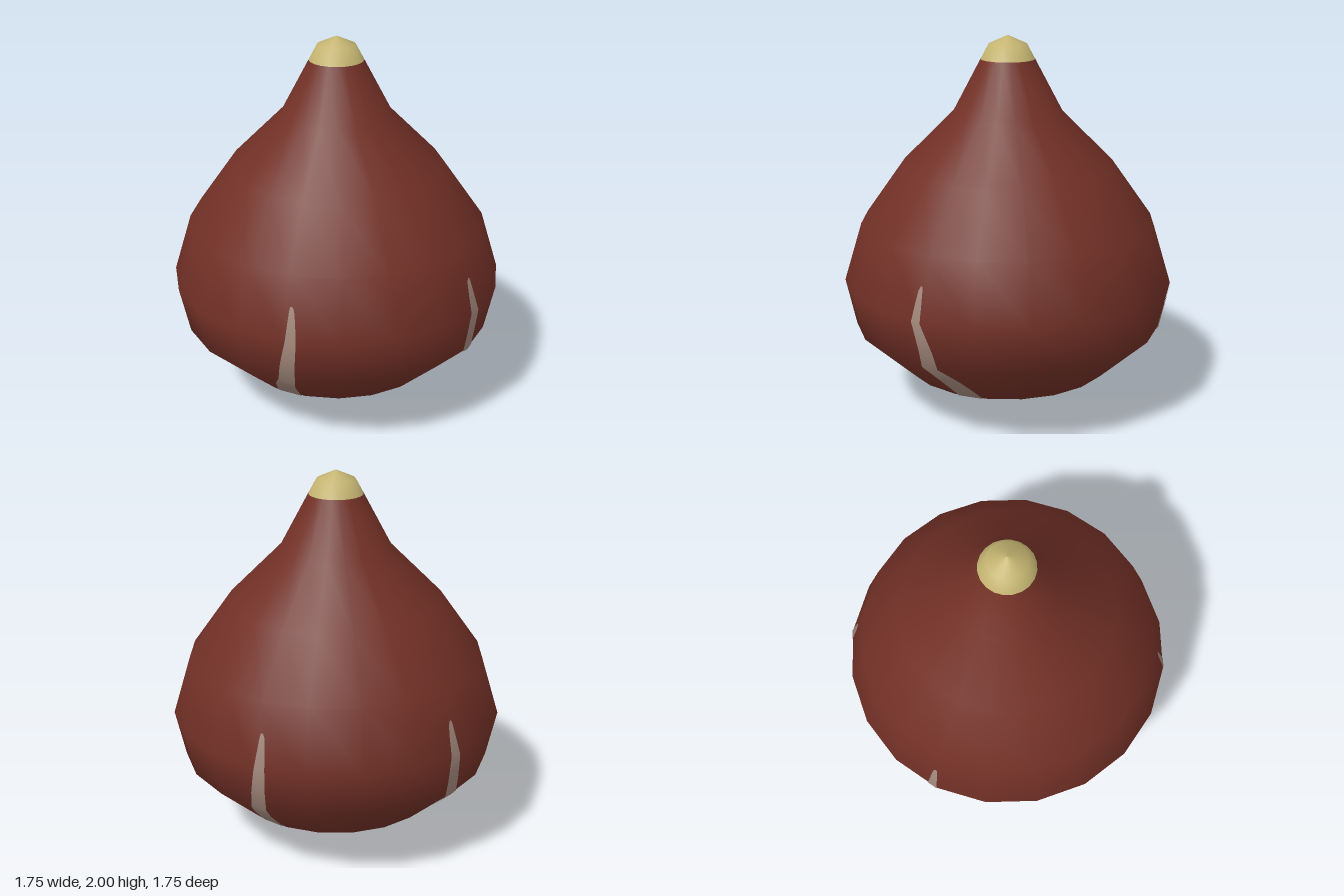
import * as THREE from 'three';

const SIDES = 20;
const STEP = (2 * Math.PI) / SIDES;

// Half profile of the bulb, [radius, height] from the base up to the stem
const PROFILE = [
  [0, 0.005], [0.2, 0.06], [0.56, 0.215], [0.823, 0.46], [0.877, 0.71],
  [0.782, 1.02], [0.565, 1.325], [0.29, 1.6], [0.142, 1.877],
];
const CAP = [[0.142, 1.877], [0.1, 1.955], [0, 2]];

// One vein: [height, inner angle, outer angle], angles in degrees from the side axis
const VEIN = [
  [0.88, 55.9, 55.2], [0.86, 56.6, 54.9], [0.8, 57.2, 54.6], [0.71, 57.8, 54.2],
  [0.55, 56.6, 51.3], [0.46, 56.3, 50.2], [0.36, 54, 45], [0.215, 52, 38.4],
  [0.17, 48.7, 35.5], [0.143, 45, 31], [0.134, 43.5, 16], [0.13, 43, 0],
  [0.06, 33, 0], [0.035, 33, 0], [0.015, 50, 0], [0.006, 85, 0],
];

const lathe = (points) =>
  new THREE.LatheGeometry(points.map(([r, y]) => new THREE.Vector2(r, y)), SIDES);

// Smooth outward direction at each profile point
const profileNormals = PROFILE.map((p, i) => {
  const n = new THREE.Vector2();
  for (const k of [i - 1, i]) {
    if (k < 0 || k + 1 >= PROFILE.length) continue;
    const [a, b] = [PROFILE[k], PROFILE[k + 1]];
    n.add(new THREE.Vector2(b[1] - a[1], a[0] - b[0]).normalize());
  }
  return n.normalize();
});

// Point and normal on the many-sided bulb, lifted slightly off its skin
function onSkin(y, angle, lift) {
  let k = 0;
  while (k < PROFILE.length - 2 && PROFILE[k + 1][1] < y) k++;
  const t = (y - PROFILE[k][1]) / (PROFILE[k + 1][1] - PROFILE[k][1]);
  const n = profileNormals[k].clone().lerp(profileNormals[k + 1], t).normalize();
  const r = THREE.MathUtils.lerp(PROFILE[k][0], PROFILE[k + 1][0], t);
  const facet = Math.cos(STEP / 2) / Math.cos((angle % STEP) - STEP / 2);
  const radius = r * facet + n.x * lift;
  return {
    p: [radius * Math.cos(angle), y + n.y * lift, radius * Math.sin(angle)],
    n: [n.x * Math.cos(angle), n.y, n.x * Math.sin(angle)],
  };
}

// Thin painted strip for one quadrant, given by the signs of x and z
function veinGeometry(sx, sz) {
  const rows = [];
  for (let i = 0; i < VEIN.length - 1; i++) {
    for (let s = 0; s < 5; s++) {
      rows.push(VEIN[i].map((v, c) => THREE.MathUtils.lerp(v, VEIN[i + 1][c], s / 5)));
    }
  }
  rows.push(VEIN[VEIN.length - 1]);
  const cols = 12;
  const positions = [], normals = [], index = [];
  rows.forEach(([y, inner, outer], i) => {
    for (let j = 0; j <= cols; j++) {
      const angle = THREE.MathUtils.degToRad(THREE.MathUtils.lerp(inner, outer, j / cols));
      const { p, n } = onSkin(y, angle, 0.004);
      positions.push(p[0] * sx, p[1], p[2] * sz);
      normals.push(n[0] * sx, n[1], n[2] * sz);
      if (i === rows.length - 1 || j === cols) continue;
      const a = i * (cols + 1) + j, b = a + cols + 1;
      if (sx * sz > 0) index.push(a, b, a + 1, a + 1, b, b + 1);
      else index.push(a, a + 1, b, a + 1, b + 1, b);
    }
  });
  const geometry = new THREE.BufferGeometry();
  geometry.setAttribute('position', new THREE.Float32BufferAttribute(positions, 3));
  geometry.setAttribute('normal', new THREE.Float32BufferAttribute(normals, 3));
  geometry.setIndex(index);
  return geometry;
}

export function createModel() {
  const material = (name, color) => {
    const m = new THREE.MeshStandardMaterial({ color });
    m.name = name;
    return m;
  };
  const skin = material('russet skin', 0x713026);
  const stem = material('straw stem', 0xc3b370);
  const pale = material('pale vein', 0xa48a7e);

  const group = new THREE.Group();
  const add = (name, geometry, mat) => {
    const mesh = new THREE.Mesh(geometry, mat);
    mesh.name = name;
    group.add(mesh);
  };

  // Bulb and stem tip
  add('bulb', lathe(PROFILE), skin);
  add('stemTip', lathe(CAP), stem);

  // Four veins that meet under the base
  for (const sx of [1, -1]) {
    for (const sz of [1, -1]) {
      add(`${sz > 0 ? 'front' : 'back'}${sx > 0 ? 'Left' : 'Right'}Vein`, veinGeometry(sx, sz), pale);
    }
  }
  return group;
}
